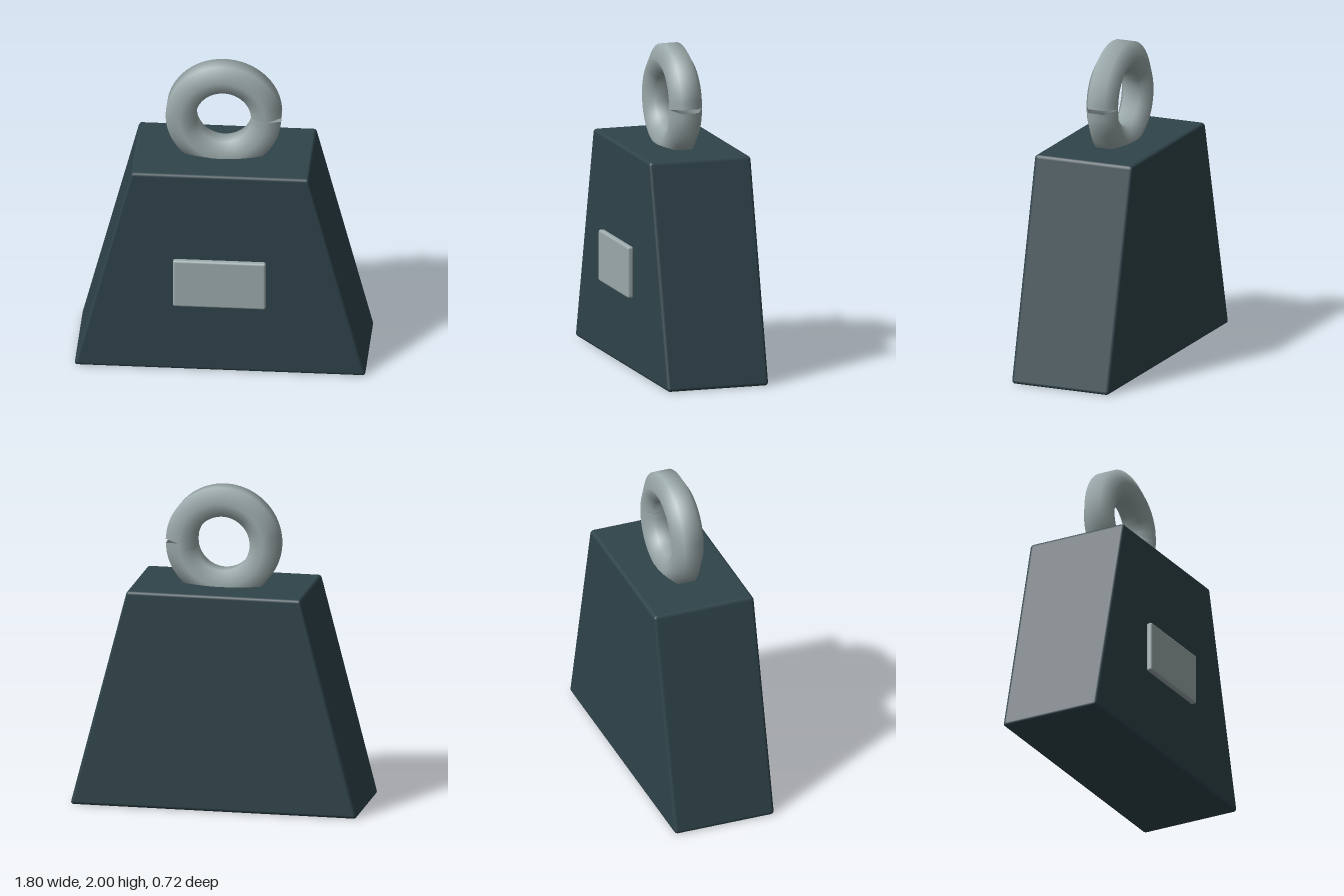
import * as THREE from 'three';
import { RoundedBoxGeometry } from 'three/addons/geometries/RoundedBoxGeometry.js';

// Rounded box whose width narrows linearly from 1 at the bottom to topScale at the top
function taperedBox(width, height, depth, radius, topScale) {
  const geo = new RoundedBoxGeometry(width, height, depth, 3, radius);
  const pos = geo.attributes.position;
  const nor = geo.attributes.normal;
  const slope = (topScale - 1) / height;
  const n = new THREE.Vector3();
  for (let i = 0; i < pos.count; i++) {
    const x = pos.getX(i);
    const s = 1 + slope * (pos.getY(i) + height / 2);
    pos.setX(i, x * s);
    n.fromBufferAttribute(nor, i);
    n.set(n.x / s, n.y - (x * slope / s) * n.x, n.z).normalize();
    nor.setXYZ(i, n.x, n.y, n.z);
  }
  return geo;
}

export function createModel() {
  const iron = new THREE.MeshStandardMaterial({ color: 0x2f444b });
  iron.name = 'dark iron';
  const steel = new THREE.MeshStandardMaterial({ color: 0x9dabac, side: THREE.DoubleSide });
  steel.name = 'pale steel';

  const group = new THREE.Group();
  group.name = 'weight';
  const add = (name, geometry, material, x, y, z) => {
    const mesh = new THREE.Mesh(geometry, material);
    mesh.name = name;
    mesh.position.set(x, y, z);
    group.add(mesh);
  };

  // Trapezoid body
  const height = 1.38;
  add('body', taperedBox(1.81, height, 0.66, 0.022, 0.605), iron, 0, height / 2, -0.025);

  // Bent six-sided ring, its two ends meeting at a small notch on the left
  const points = [];
  for (let i = 0; i <= 24; i++) {
    const a = (i / 24) * Math.PI * 2;
    points.push(new THREE.Vector3(Math.cos(a) * 0.265, Math.sin(a) * 0.265, 0));
  }
  const path = new THREE.CatmullRomCurve3(points, false, 'catmullrom', 0.5);
  add('ring', new THREE.TubeGeometry(path, 96, 0.107, 6, false), steel, 0, 1.643, -0.025);

  // Plate floating just in front of the body
  add('plate', new RoundedBoxGeometry(0.575, 0.325, 0.04, 3, 0.014), steel, 0, 0.637, 0.34);

  return group;
}
